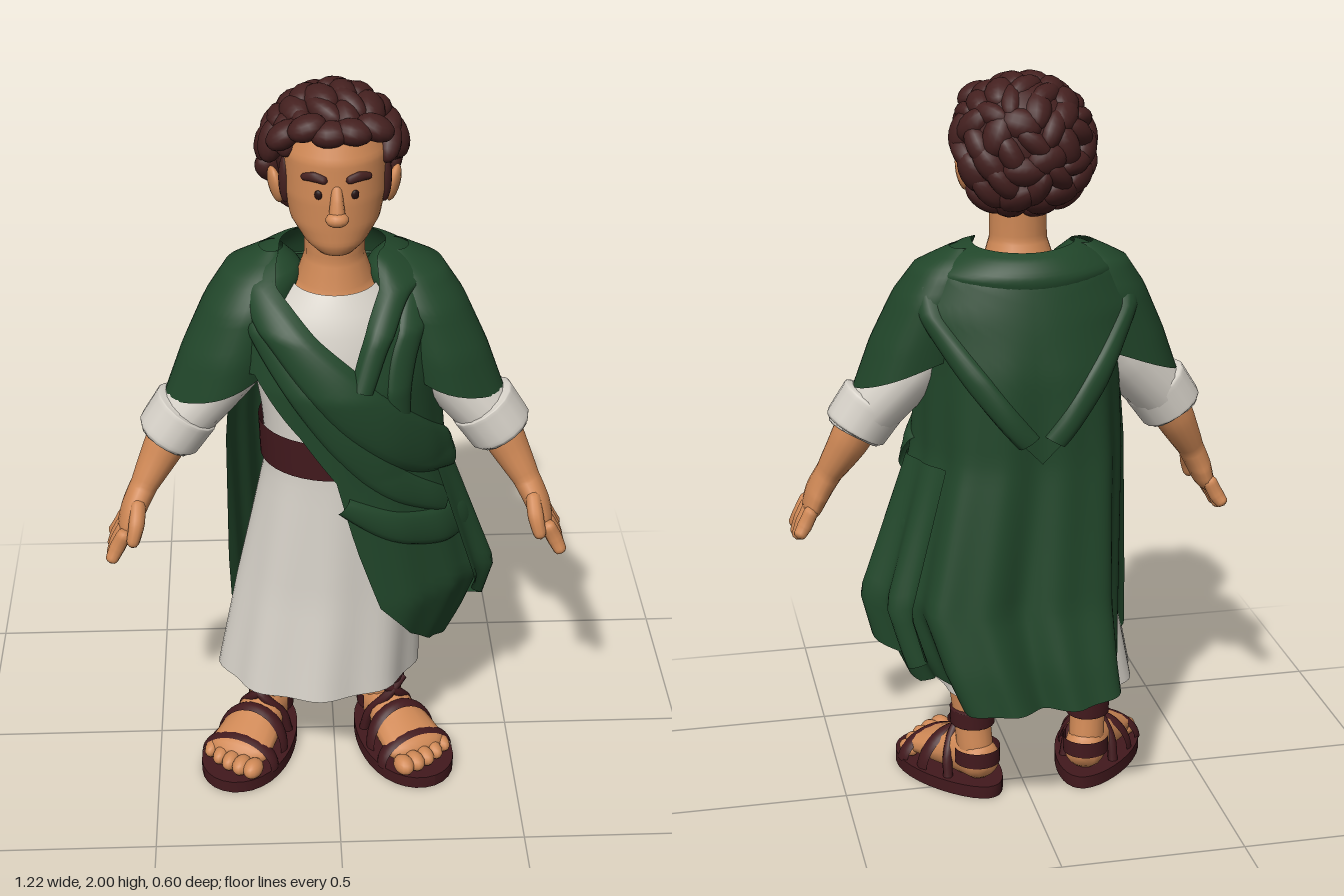
import * as THREE from 'three';
import { mergeVertices, mergeGeometries } from 'three/addons/utils/BufferGeometryUtils.js';

const mat = (name, color, side = THREE.FrontSide) => {
  const m = new THREE.MeshStandardMaterial({ color, side });
  m.name = name;
  return m;
};

// Interpolate rows by their first column (ascending)
function at(rows, k) {
  let i = 0;
  while (i < rows.length - 2 && k > rows[i + 1][0]) i++;
  const a = rows[i], b = rows[i + 1];
  const t = THREE.MathUtils.clamp((k - a[0]) / (b[0] - a[0]), 0, 1);
  return a.slice(1).map((v, j) => v + (b[j + 1] - v) * t);
}

// Sheet of quads: f(u, v) gives a point, u runs around and v runs down
function grid(f, nu, nv) {
  const pos = [], idx = [];
  for (let j = 0; j <= nv; j++) for (let i = 0; i <= nu; i++) pos.push(...f(i / nu, j / nv));
  for (let j = 0; j < nv; j++) for (let i = 0; i < nu; i++) {
    const a = j * (nu + 1) + i, b = a + nu + 1;
    idx.push(a, b, b + 1, a, b + 1, a + 1);
  }
  let g = new THREE.BufferGeometry();
  g.setAttribute('position', new THREE.Float32BufferAttribute(pos, 3));
  g.setIndex(idx);
  g = mergeVertices(g, 1e-5);
  g.computeVertexNormals();
  return g;
}

// Point on an elliptical body; rows are [y, centreX, radiusX, centreZ, radiusZ]
function surf(rows, deg, y, lift = 0) {
  const [cx, a, cz, b] = at(rows, y), t = deg * Math.PI / 180;
  return [cx + (a + lift) * Math.sin(t), y, cz + (b + lift) * Math.cos(t)];
}
function body(rows, top, bottom, lift = () => 0, nu = 40, nv = 24) {
  return grid((u, v) => {
    const y = top + (bottom - top) * v;
    return surf(rows, u * 360, y, lift(u * 360, y));
  }, nu, nv);
}

// Tapered limb through points [x, y, z, radiusAcross, radiusAlongRef]
function limb(pts, round = true, ref = new THREE.Vector3(0, 0, 1), nu = 16) {
  const curve = new THREE.CatmullRomCurve3(pts.map(p => new THREE.Vector3(p[0], p[1], p[2])));
  const radii = pts.map((p, i) => [i / (pts.length - 1), p[3], p[4]]);
  return grid((u, v) => {
    const P = curve.getPoint(v), T = curve.getTangent(v);
    const N = T.clone().cross(ref).normalize(), B = N.clone().cross(T);
    const e = Math.min(1, Math.min(v, 1 - v) / 0.15);
    const k = round ? Math.sqrt(1 - (1 - e) ** 2) + 1e-4 : 1;
    const [rn, rb] = at(radii, v), t = u * Math.PI * 2;
    return P.addScaledVector(N, Math.cos(t) * rn * k).addScaledVector(B, Math.sin(t) * rb * k).toArray();
  }, nu, pts.length * 6);
}

const ball = (x, y, z, rx, ry, rz) => new THREE.SphereGeometry(1, 14, 10).scale(rx, ry, rz).translate(x, y, z);

function mirrored(geo) {
  const g = geo.clone().scale(-1, 1, 1), ix = g.index.array;
  for (let i = 0; i < ix.length; i += 3) [ix[i], ix[i + 1]] = [ix[i + 1], ix[i]];
  return g;
}

const tunicRows = [[0.31, -0.045, 0.275, 0.05, 0.23], [0.6, -0.015, 0.25, 0.05, 0.2], [0.98, 0, 0.185, 0.065, 0.165],
  [1.12, 0, 0.19, 0.065, 0.17], [1.3, 0, 0.22, 0.06, 0.17], [1.42, 0, 0.2, 0.05, 0.15], [1.485, 0, 0.11, 0.045, 0.115]];
const cloakRows = [[0.33, -0.01, 0.275, -0.02, 0.28], [0.45, 0.02, 0.305, -0.01, 0.27], [0.6, 0.045, 0.335, 0.01, 0.255],
  [1.0, -0.003, 0.285, 0.035, 0.232], [1.25, 0, 0.27, 0.042, 0.235], [1.4, 0, 0.28, 0.035, 0.205],
  [1.5, 0, 0.235, 0.015, 0.165], [1.57, 0, 0.13, 0.005, 0.12]];
const cloakTop = [[-92, 1.55], [-45, 1.51], [-20, 1.42], [14, 1.26], [22, 1.4], [33, 1.52], [90, 1.55], [270, 1.55]];
const cloakHem = [[-92, 1.24], [-50, 1.28], [-20, 1.13], [0, 1.0], [5, 0.8], [12, 0.6], [35, 0.48], [60, 0.4],
  [90, 0.34], [110, 0.39], [140, 0.34], [200, 0.34], [240, 0.38], [268, 0.46]];

// Vertical folds that deepen towards the hem
function folds(deg, y) {
  const depth = THREE.MathUtils.clamp((1.35 - y) / 1.0, 0, 1);
  const back = THREE.MathUtils.smoothstep(deg, 40, 100);
  const r = Math.PI / 180;
  return depth * (0.008 + 0.027 * back) * (Math.cos((deg - 147) * 5.3 * r) + 0.35 * Math.cos(deg * 13 * r));
}
const cloakPoint = (deg, y, lift) => surf(cloakRows, deg, y, lift + folds(((deg + 92) % 360) - 92, y));

// Raised band of cloth along a path of [degrees, y, halfWidth]
function band(path, height, base = -0.006) {
  const curve = new THREE.CatmullRomCurve3(path.map(p => new THREE.Vector3(p[0] * 0.0045, p[1], p[2])));
  return grid((u, v) => {
    const P = curve.getPoint(v), T = curve.getTangent(v), s = u * 2 - 1;
    const l = Math.hypot(T.x, T.y) || 1;
    return cloakPoint((P.x - T.y / l * s * P.z) / 0.0045, P.y + T.x / l * s * P.z,
      base + height * Math.sqrt(Math.max(0, 1 - s * s)));
  }, 10, path.length * 8);
}

export function createModel() {
  const model = new THREE.Group();
  const skin = mat('skin', 0xd08956), hair = mat('hair', 0x44201f), dark = mat('eyes', 0x241010);
  const linen = mat('linen', 0xd6d1c8, THREE.DoubleSide), green = mat('green wool', 0x21462a, THREE.DoubleSide);
  const leather = mat('leather', 0x42191d, THREE.DoubleSide);
  const add = (name, geo, m, x = 0) => {
    const mesh = new THREE.Mesh(geo, m);
    mesh.name = name;
    mesh.position.x = x;
    model.add(mesh);
  };
  const pair = (name, geo, m, x = 0) => {
    add('left' + name, geo, m, x);
    add('right' + name, mirrored(geo), m, x);
  };

  // Tunic and belt
  add('tunic', body(tunicRows, 1.485, 0.31, (d, y) => Math.max(0, 1 - y) * 0.011 * Math.cos(d * Math.PI / 20), 72), linen);
  add('belt', body(tunicRows, 1.1, 0.99, () => 0.012, 40, 3), leather);

  // Cloak: wraps the back and left side, front edge falls diagonally
  add('cloak', grid((u, v) => {
    const deg = -92 + u * 359.9, top = at(cloakTop, deg)[0], hem = at(cloakHem, deg)[0];
    return cloakPoint(deg, top + (hem - top) * v, 0);
  }, 180, 36), green);
  add('cloakCollarAndSash', band([[13, 1.27, 0.03], [25, 1.42, 0.035], [45, 1.51, 0.04], [75, 1.52, 0.045], [120, 1.515, 0.045],
    [180, 1.505, 0.05], [240, 1.515, 0.045], [290, 1.505, 0.045], [322, 1.435, 0.05], [350, 1.31, 0.065],
    [380, 1.17, 0.08], [410, 1.06, 0.08], [445, 0.98, 0.06]], 0.028), green);
  add('cloakChestFold', band([[-48, 1.42, 0.04], [-20, 1.26, 0.045], [8, 1.1, 0.05], [35, 0.96, 0.05], [65, 0.86, 0.04]], 0.018), green);
  add('cloakHipFold', band([[2, 0.93, 0.03], [30, 0.84, 0.05], [65, 0.79, 0.06], [105, 0.8, 0.05]], 0.02), green);
  add('cloakShoulderFold', band([[38, 1.08, 0.03], [36, 1.22, 0.04], [40, 1.36, 0.045], [56, 1.48, 0.04], [80, 1.52, 0.03]], 0.018), green);
  // Loose triangle of cloth hanging at the back, with rolled edges
  add('cloakBackDrape', grid((u, v) => {
    const deg = 110 + u * 142, hem = 1.44 - 0.42 * (1 - Math.abs(u * 2 - 1));
    return cloakPoint(deg, 1.54 + (hem - 1.54) * v, 0.012 + 0.028 * v);
  }, 48, 14), green);
  for (const [name, side] of [['Left', -1], ['Right', 1]])
    add('cloakBackFold' + name, band([[181 + side * 70, 1.46, 0.03], [181 + side * 38, 1.28, 0.035],
      [181 + side * 6, 1.08, 0.03]], 0.026, 0.024), green);
  // Loose end gathered under the left hand
  add('cloakTail', grid((u, v) => {
    const deg = 64 + u * 64, hem = 0.6 - 0.17 * Math.sin(u * Math.PI * 0.75);
    return cloakPoint(deg, 0.98 + (hem - 0.98) * v, 0.005 + 0.02 * v + 0.035 * u * v + 0.014 * v * Math.cos(u * 17));
  }, 30, 14), green);
  // Shoulder drapes over the upper arms, longer at the front
  const capeRows = [[1.16, 0.3, 0.145, 0.05, 0.135], [1.3, 0.262, 0.133, 0.045, 0.14], [1.43, 0.215, 0.12, 0.03, 0.135],
    [1.51, 0.18, 0.1, 0.015, 0.105], [1.555, 0.16, 0.03, 0.005, 0.04]];
  pair('CloakShoulder', grid((u, v) => {
    const deg = u * 360, t = u * Math.PI * 2, hem = 1.23 - 0.055 * Math.sin(t) - 0.02 * Math.cos(t);
    return surf(capeRows, deg, 1.555 + (hem - 1.555) * v, 0.004 * v * Math.cos(t * 5));
  }, 40, 16), green);

  // Sleeves, cuffs, arms and hands
  pair('Sleeve', limb([[0.17, 1.36, 0.04, 0.08, 0.1], [0.29, 1.22, 0.055, 0.083, 0.1], [0.425, 1.075, 0.08, 0.08, 0.085]], false), linen);
  pair('Cuff', limb([[0.38, 1.135, 0.078, 0.07, 0.075], [0.385, 1.128, 0.078, 0.092, 0.095], [0.435, 1.055, 0.083, 0.088, 0.092],
    [0.44, 1.047, 0.083, 0.075, 0.078], [0.43, 1.065, 0.083, 0.055, 0.055]], false), linen);
  const hand = [limb([[0.39, 1.14, 0.075, 0.06, 0.06], [0.45, 1.02, 0.09, 0.055, 0.057], [0.505, 0.92, 0.12, 0.037, 0.044],
    [0.535, 0.86, 0.14, 0.034, 0.062], [0.565, 0.78, 0.15, 0.024, 0.065]])];
  for (let i = 0; i < 4; i++) {
    const z = 0.095 + i * 0.036, tip = 0.722 + [0.025, 0.005, 0, 0.012][i];
    hand.push(limb([[0.553, 0.83, z + 0.003, 0.02, 0.019], [0.58, 0.775, z, 0.021, 0.021], [0.6, tip, z - 0.012 + i * 0.008, 0.016, 0.018]], true, undefined, 10));
  }
  hand.push(limb([[0.52, 0.9, 0.16, 0.02, 0.022], [0.525, 0.85, 0.21, 0.021, 0.023], [0.54, 0.79, 0.23, 0.016, 0.018]], true, undefined, 10));
  pair('ArmAndHand', mergeGeometries(hand), skin);

  // Legs, feet and sandals, toes turned outwards
  const place = g => g.rotateY(0.45).translate(0.165, 0, 0);
  const up = new THREE.Vector3(0, 1, 0), shift = -0.024;
  const foot = [limb([[0, 0.6, 0.03, 0.075, 0.075], [0, 0.36, 0.01, 0.066, 0.068], [0, 0.2, 0, 0.05, 0.053], [0, 0.06, -0.02, 0.05, 0.055]]),
    limb([[0, 0.085, -0.085, 0.055, 0.05], [0, 0.095, 0.02, 0.06, 0.07], [0, 0.08, 0.12, 0.085, 0.05], [0, 0.06, 0.235, 0.096, 0.03]], true, up)];
  for (let i = 0; i < 5; i++)
    foot.push(ball(-0.07 + i * 0.037, 0.062 - i * 0.002, 0.25 - i * i * 0.003, 0.027 - i * 0.0015, 0.027 - i * 0.001, 0.036));
  foot.forEach(g => { g.deleteAttribute('uv'); place(g); });
  pair('LegAndFoot', mergeGeometries(foot), skin, shift);

  const sole = new THREE.CylinderGeometry(1, 1, 0.036, 32);
  const p = sole.attributes.position;
  for (let i = 0; i < p.count; i++) {
    const z = p.getZ(i);
    p.setXYZ(i, p.getX(i) * (0.115 + 0.025 * z), p.getY(i) + 0.018, 0.1 + 0.205 * z);
  }
  sole.computeVertexNormals();
  pair('Sole', place(sole), leather, shift);

  const arch = (z, w, rx, ry, lean) => grid((u, v) => {
    const t = u * Math.PI, puff = 1 + 0.08 * Math.sin(v * Math.PI);
    return [rx * puff * Math.cos(t), 0.03 + ry * puff * Math.sin(t), z + (v - 0.5) * w + lean * Math.sin(t)];
  }, 20, 5);
  const straps = [arch(0.19, 0.045, 0.108, 0.075, -0.01), arch(0.11, 0.045, 0.1, 0.112, -0.02),
    limb([[0, 0.245, 0, 0.052, 0.056], [0, 0.24, 0, 0.062, 0.066], [0, 0.195, 0, 0.061, 0.065], [0, 0.19, 0, 0.05, 0.055]], false)];
  // Heel strap
  straps.push(grid((u, v) => {
    const t = Math.PI * (0.9 + u * 1.2);
    return [0.064 * Math.cos(t), 0.13 - v * 0.045, -0.02 + 0.067 * Math.sin(t)];
  }, 18, 2));
  for (const s of [-1, 1]) {
    const c = new THREE.CatmullRomCurve3([[0.072, 0.03, 0.02], [0.06, 0.1, 0.035], [0.015, 0.16, 0.06], [-0.04, 0.2, 0.045]]
      .map(q => new THREE.Vector3(q[0] * s, q[1], q[2])));
    straps.push(new THREE.TubeGeometry(c, 16, 0.014, 8));
  }
  straps.forEach(g => { g.deleteAttribute('uv'); place(g); });
  pair('SandalStraps', mergeGeometries(straps), leather, shift);

  // Neck, head and face
  add('neck', limb([[0, 1.44, 0.04, 0.14, 0.125], [0, 1.49, 0.045, 0.1, 0.1], [0, 1.56, 0.05, 0.077, 0.078], [0, 1.68, 0.05, 0.075, 0.08]], false), skin);
  const headRows = [[1.595, 0, 0.002, 0.14, 0.002], [1.602, 0, 0.04, 0.14, 0.04], [1.63, 0, 0.076, 0.12, 0.075], [1.68, 0, 0.112, 0.085, 0.112],
    [1.75, 0, 0.128, 0.065, 0.133], [1.85, 0, 0.132, 0.055, 0.138], [1.92, 0, 0.11, 0.045, 0.12], [1.965, 0, 0.002, 0.04, 0.002]];
  add('head', body(headRows, 1.965, 1.595, () => 0, 36, 36), skin);
  add('nose', mergeGeometries([
    limb([[0, 1.8, 0.182, 0.012, 0.01], [0, 1.76, 0.198, 0.016, 0.018], [0, 1.715, 0.21, 0.022, 0.022]], true, undefined, 12),
    ball(0, 1.718, 0.216, 0.029, 0.019, 0.023)].map(g => g.deleteAttribute('uv'))), skin);
  pair('Ear', ball(0, 0, 0, 0.016, 0.05, 0.032).rotateZ(-0.2).rotateY(-0.35).translate(0.147, 1.74, 0.045), skin);
  pair('Eye', ball(0, 0, 0, 0.01, 0.012, 0.005).rotateY(0.35).translate(0.045, 1.772, 0.189), dark);
  pair('Eyebrow', limb([[0.022, 1.808, 0.193, 0.01, 0.01], [0.055, 1.816, 0.182, 0.013, 0.01], [0.086, 1.81, 0.162, 0.008, 0.009]], true, undefined, 10), hair);

  // Hair: a cap covered with overlapping curls, a swept fringe and sideburns
  const curls = [ball(0, 1.82, -0.015, 0.155, 0.16, 0.125)];
  const N = 90, out = new THREE.Vector3(), z = new THREE.Vector3(0, 0, 1);
  for (let i = 0; i < N; i++) {
    const y = 1 - 2 * (i + 0.5) / N, r = Math.sqrt(1 - (y < 0 ? -(y ** 3) : y * y)), t = i * 2.39996;
    out.set(Math.cos(t) * r, y, Math.sin(t) * r);
    const q = [-0.004 + out.x * 0.163, 1.81 + y * 0.155, 0.015 + out.z * 0.14];
    const keep = y > -0.97 && (q[2] < -0.01 || (q[1] > 1.82 && Math.abs(q[0]) > 0.115) || q[1] > 1.91);
    if (!keep) continue;
    const g = ball(0, 0, 0, 0.036 + 0.007 * Math.sin(i * 1.7), 0.058, 0.034).rotateZ(Math.sin(i * 2.3) * 0.9);
    g.applyQuaternion(new THREE.Quaternion().setFromUnitVectors(z, out.normalize())).translate(...q);
    curls.push(g);
  }
  for (let i = 0; i < 5; i++) {
    const x = -0.125 + i * 0.055;
    curls.push(ball(0, 0, 0, 0.05, 0.032, 0.042).rotateZ(0.6 - i * 0.25)
      .translate(x, 1.925 + 0.012 * Math.sin(i * 2) - 1.8 * x * x, 0.158 - 3 * x * x));
  }
  for (const s of [-1, 1]) curls.push(ball(s * 0.122, 1.775, 0.09, 0.018, 0.065, 0.022));
  add('curlyHair', mergeGeometries(curls), hair);
  return model;
}
